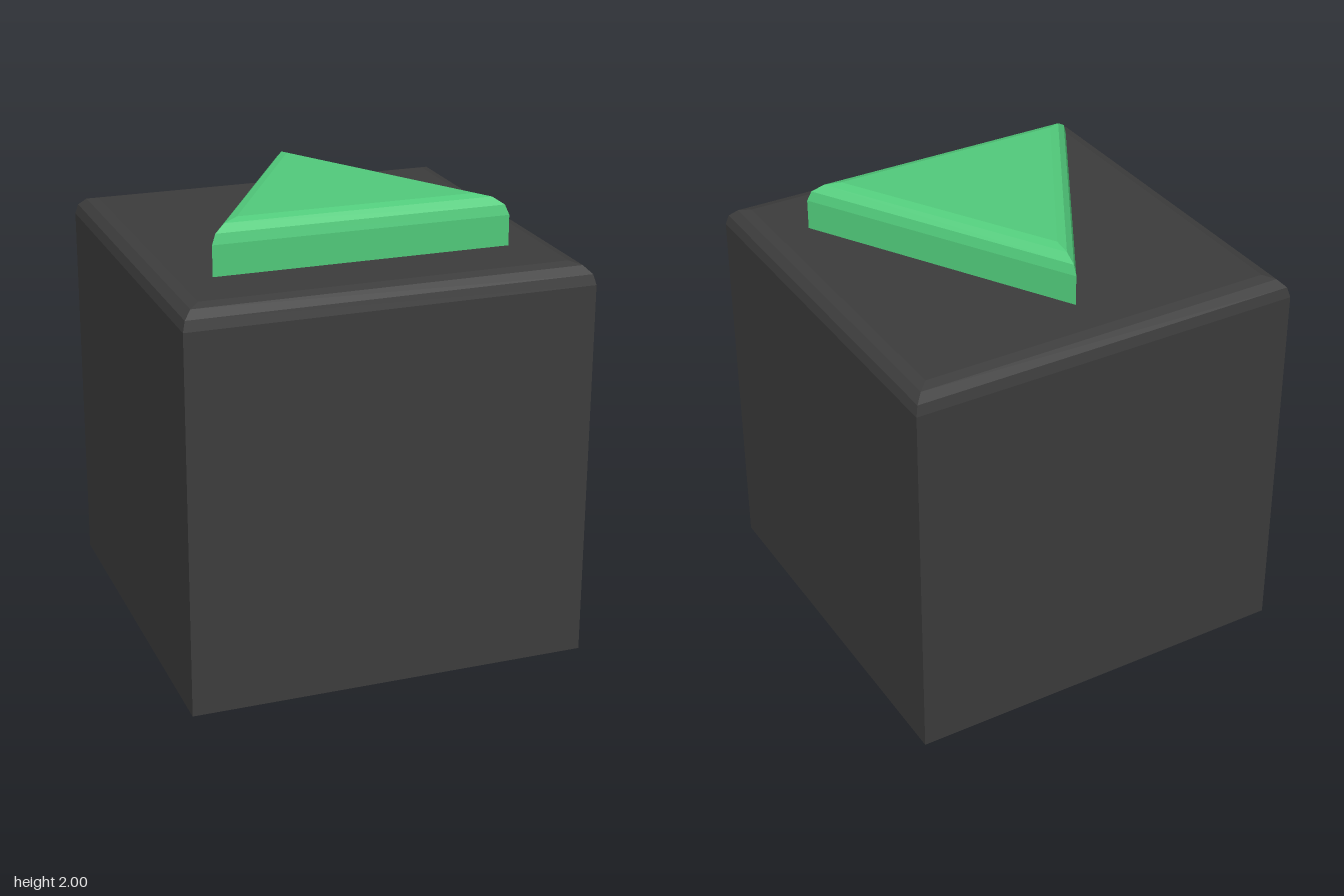
import * as THREE from 'three';

// Upright prism with flat sides and a rounded top edge.
// inradius: centre to side; inset and drop: width and height of the rounding.
function beveledPrism(name, sides, inradius, y0, y1, inset, drop, startAngle, color) {
  const toCorner = 1 / Math.cos(Math.PI / sides);
  const profile = [new THREE.Vector2(0, y0), new THREE.Vector2(inradius * toCorner, y0)];
  const steps = 3;
  for (let i = 0; i <= steps; i++) {
    const a = (i / steps) * Math.PI / 2;
    profile.push(new THREE.Vector2(
      (inradius - inset * (1 - Math.cos(a))) * toCorner,
      y1 - drop * (1 - Math.sin(a))
    ));
  }
  profile.push(new THREE.Vector2(0, y1));

  const geometry = new THREE.LatheGeometry(profile, sides, startAngle).toNonIndexed();
  geometry.computeVertexNormals();
  const mesh = new THREE.Mesh(
    geometry,
    new THREE.MeshStandardMaterial({ color, flatShading: true })
  );
  mesh.name = name;
  return mesh;
}

export function createModel() {
  const group = new THREE.Group();
  group.name = 'triangleButton';

  // Dark cube with a rounded upper rim
  const base = beveledPrism('baseBlock', 4, 0.889, 0, 1.778, 0.09, 0.09, Math.PI / 4, 0x3d3d3d);

  // Raised green triangle pointing to the back
  const triangle = beveledPrism('triangleCap', 3, 0.378, 1.77, 2, 0.075, 0.088, Math.PI, 0x52cc7c);
  triangle.position.z = 0.142;

  group.add(base, triangle);
  return group;
}
